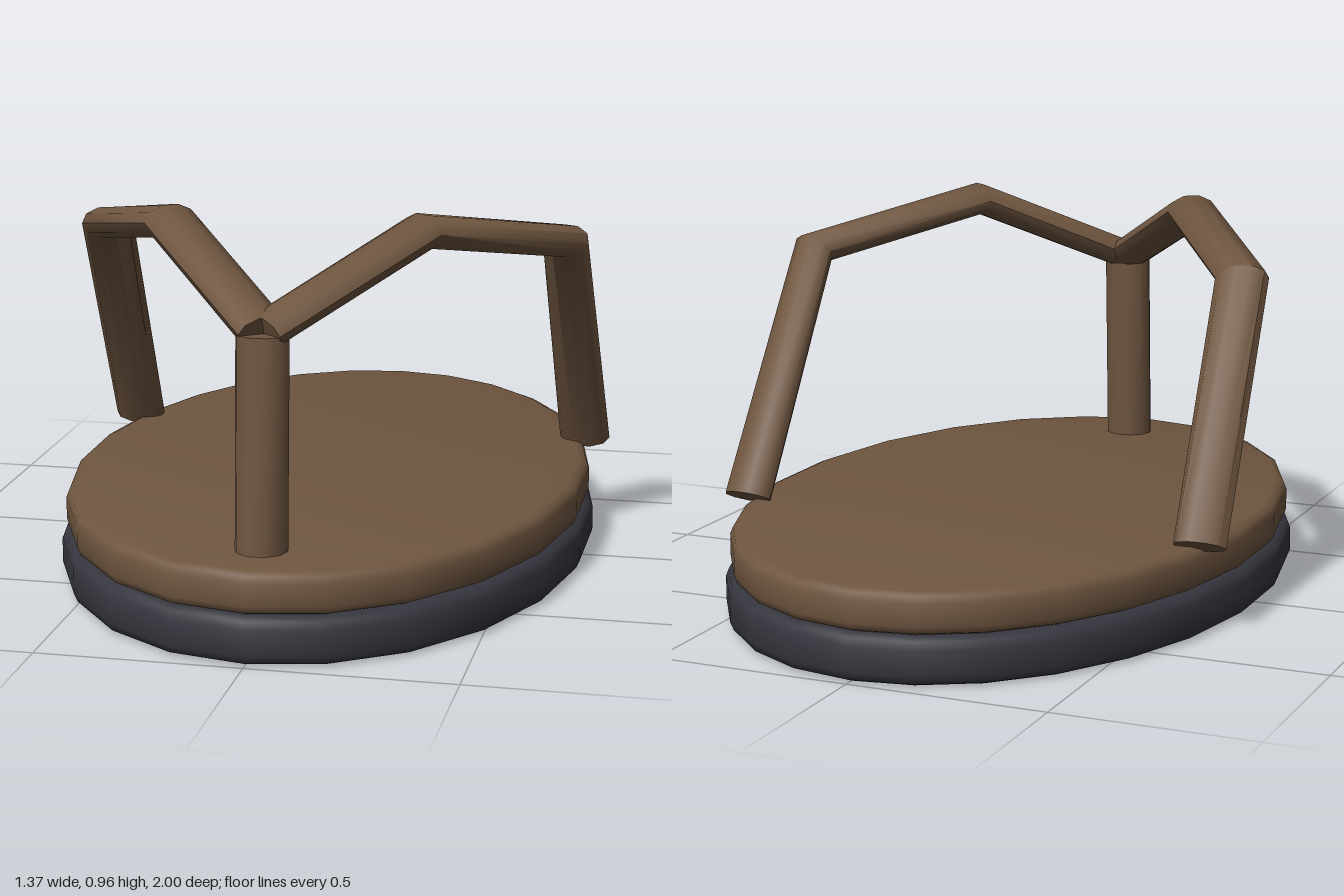
import * as THREE from 'three';
import { toCreasedNormals } from 'three/addons/utils/BufferGeometryUtils.js';

// Bevelled slab of the sole, from y0 to y1, with a rounder toe and heel
function soleLayer(halfWidth, halfLength, y0, y1, bevel) {
  const degrees = [0, 13.5, 27, 40.5, 54, 67.5, 82.5, 98, 114.5, 131, 147.4, 163.7, 180];
  const half = degrees.map((d) => {
    const a = THREE.MathUtils.degToRad(d);
    return new THREE.Vector2(Math.sin(a) * halfWidth, Math.cos(a) * halfLength);
  });
  const other = half.slice(1, -1).reverse().map((p) => new THREE.Vector2(-p.x, p.y));
  const geometry = new THREE.ExtrudeGeometry(new THREE.Shape([...half, ...other]), {
    depth: y1 - y0 - 2 * bevel,
    bevelEnabled: true,
    bevelThickness: bevel,
    bevelSize: bevel,
    bevelOffset: -bevel,
    bevelSegments: 2,
  });
  geometry.rotateX(-Math.PI / 2);
  geometry.translate(0, y0 + bevel, 0);
  return toCreasedNormals(geometry, 0.9);
}

// Oval band swept along straight pieces, with mitred bends and closed ends
function band(points, halfWidth, halfThick, sides = 10) {
  const path = points.map((p) => new THREE.Vector3(...p));
  const up = new THREE.Vector3(0, 1, 0);
  const positions = [];
  const index = [];
  const last = path.length - 1;
  path.forEach((p, i) => {
    const before = path[Math.max(i, 1)].clone().sub(path[Math.max(i, 1) - 1]).normalize();
    const j = Math.min(i, last - 1);
    const after = path[j + 1].clone().sub(path[j]).normalize();
    const t = before.clone().add(after).normalize();
    const s = t.clone().cross(up).normalize();
    const n = t.clone().cross(s);
    const thick = halfThick / before.dot(t);
    for (let k = 0; k < sides; k++) {
      const a = (k / sides) * Math.PI * 2;
      const v = p.clone()
        .addScaledVector(s, Math.cos(a) * halfWidth)
        .addScaledVector(n, Math.sin(a) * thick);
      positions.push(v.x, v.y, v.z);
    }
  });
  for (let i = 0; i < last; i++) {
    for (let k = 0; k < sides; k++) {
      const a = i * sides + k;
      const b = i * sides + ((k + 1) % sides);
      index.push(a, b, b + sides, a, b + sides, a + sides);
    }
  }
  for (let k = 1; k < sides - 1; k++) {
    const e = last * sides;
    index.push(0, k + 1, k, e, e + k, e + k + 1);
  }
  const geometry = new THREE.BufferGeometry();
  geometry.setAttribute('position', new THREE.Float32BufferAttribute(positions, 3));
  geometry.setIndex(index);
  return toCreasedNormals(geometry, 0.9);
}

export function createModel() {
  const model = new THREE.Group();
  model.name = 'sandal';

  const leather = new THREE.MeshStandardMaterial({ color: 0x6f5640 });
  leather.name = 'brown leather';
  const rubber = new THREE.MeshStandardMaterial({ color: 0x36373f });
  rubber.name = 'dark rubber';

  const add = (name, geometry, material) => {
    const mesh = new THREE.Mesh(geometry, material);
    mesh.name = name;
    model.add(mesh);
  };

  // Two-layer sole
  add('outsole', soleLayer(0.672, 1.0, 0, 0.117, 0.028), rubber);
  add('footbed', soleLayer(0.66, 0.985, 0.117, 0.22, 0.024), leather);

  // Post between the toes
  add('toePost', band([[-0.003, 0.2, 0.8], [-0.003, 0.73, 0.775]], 0.064, 0.062), leather);

  // Side straps from the post, over the foot, down to the sole edge
  for (const [name, side] of [['leftStrap', 1], ['rightStrap', -1]]) {
    const path = [
      [0, 0.735, 0.775],
      [0.31 * side, 0.92, 0.445],
      [0.597 * side, 0.825, 0.015],
      [0.618 * side, 0.225, -0.335],
    ];
    add(name, band(path, 0.067, 0.041), leather);
  }
  return model;
}
